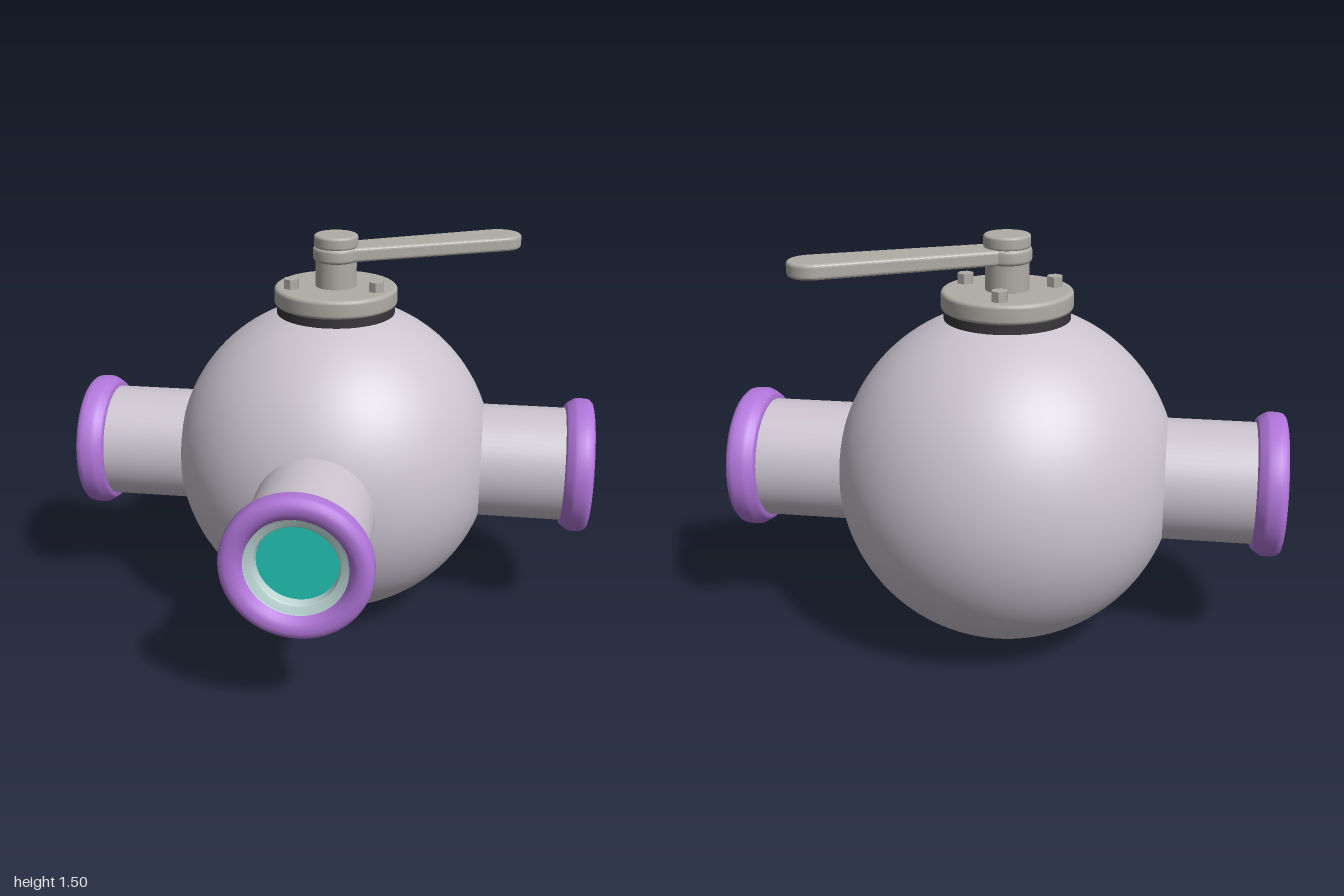
import * as THREE from 'three';

const mat = (name, color, side = THREE.FrontSide) => {
  const m = new THREE.MeshStandardMaterial({ color, side });
  m.name = name;
  return m;
};

export function createModel() {
  const body = mat('bodyGrey', 0xcbc4cf);
  const metal = mat('metalGrey', 0xb0aca6);
  const purple = mat('flangePurple', 0xb176da);
  const teal = mat('discTeal', 0x22c6b6);
  const pale = mat('seatPale', 0xbcd6d4);
  const dark = mat('gasketDark', 0x38363a);

  const model = new THREE.Group();
  model.name = 'threeWayValve';
  // Everything sits around the centre of the ball housing
  const valve = new THREE.Group();
  valve.name = 'valve';
  valve.position.z = -0.19;
  model.add(valve);

  const add = (parent, name, geo, material, x = 0, y = 0, z = 0) => {
    const m = new THREE.Mesh(geo, material);
    m.name = name;
    m.position.set(x, y, z);
    parent.add(m);
    return m;
  };
  const lathe = (pts, seg = 64) =>
    new THREE.LatheGeometry(pts.map(([r, y]) => new THREE.Vector2(r, y)), seg);
  // Disc with softly rounded rims
  const roundedDisc = (r, y0, y1, b) => {
    const pts = [[0, y0], [r - b - 0.002, y0]];
    for (let i = 0; i <= 4; i++) {
      const a = -Math.PI / 2 + (i / 4) * Math.PI / 2;
      pts.push([r - b + b * Math.cos(a), y0 + b + b * Math.sin(a)]);
    }
    for (let i = 0; i <= 4; i++) {
      const a = (i / 4) * Math.PI / 2;
      pts.push([r - b + b * Math.cos(a), y1 - b + b * Math.sin(a)]);
    }
    pts.push([r - b - 0.002, y1], [0, y1]);
    return lathe(pts);
  };

  const CY = 0.622;
  add(valve, 'ballHousing', new THREE.SphereGeometry(0.62, 96, 64), body, 0, CY);

  // Ports, built along +y and turned outward
  const port = (name, rx, rz, blocked) => {
    const g = new THREE.Group();
    g.name = name;
    g.position.y = CY;
    g.rotation.set(rx, 0, rz);
    valve.add(g);
    add(g, 'pipe', new THREE.CylinderGeometry(0.22, 0.22, 0.42, 64, 1, true), body, 0, 0.71);
    add(g, 'flange', lathe([
      [0.215, 0.894], [0.234, 0.895], [0.241, 0.902], [0.254, 0.922], [0.26, 0.935],
      [0.26, 0.97], [0.256, 0.985], [0.245, 0.996], [0.23, 1], [0.212, 0.999],
      [0.195, 0.992], [0.182, 0.978], [0.175, 0.955],
    ]), purple);
    if (blocked) {
      add(g, 'seatRing', lathe([[0.177, 0.97], [0.17, 0.966], [0.15, 0.96], [0.145, 0.955]]), pale);
      add(g, 'seatWall', lathe([[0.145, 0.955], [0.14, 0.92]]), pale);
      add(g, 'disc', new THREE.CylinderGeometry(0.142, 0.142, 0.009, 48), teal, 0, 0.92);
    } else {
      add(g, 'bore', lathe([[0.175, 0.96], [0.172, 0.55]]), body);
    }
  };
  port('leftPort', 0, -Math.PI / 2, true);
  port('rightPort', 0, Math.PI / 2, false);
  port('frontPort', Math.PI / 2, 0, true);

  // Bonnet on top of the housing
  add(valve, 'gasket', new THREE.CylinderGeometry(0.225, 0.225, 0.05, 64), dark, 0, 1.23);
  add(valve, 'bonnetPlate', roundedDisc(0.234, 1.238, 1.308, 0.014), metal);
  for (const [x, z] of [[0, -0.17], [-0.16, 0.065], [0.16, 0.065]]) {
    const bolt = new THREE.CylinderGeometry(0.03, 0.03, 0.045, 6).toNonIndexed();
    bolt.computeVertexNormals();
    add(valve, 'bolt', bolt, metal, x, 1.322, z);
  }
  add(valve, 'stem', new THREE.CylinderGeometry(0.078, 0.078, 0.14, 48), metal, 0, 1.36);
  add(valve, 'stemCap', roundedDisc(0.083, 1.455, 1.503, 0.01), metal);
  add(valve, 'leverHub', roundedDisc(0.087, 1.404, 1.46, 0.014), metal);

  // Tapered lever with a round tip
  const len = 0.673, r = 0.073, bevel = 0.012;
  const s = new THREE.Shape();
  s.moveTo(0, -0.056);
  s.lineTo(len, -r);
  s.absarc(len, 0, r, -Math.PI / 2, Math.PI / 2, false);
  s.lineTo(0, 0.056);
  s.closePath();
  const leverGeo = new THREE.ExtrudeGeometry(s, {
    depth: 0.054 - 2 * bevel, bevelEnabled: true, bevelThickness: bevel,
    bevelSize: bevel, bevelSegments: 4, curveSegments: 24,
  });
  leverGeo.rotateX(-Math.PI / 2);
  const lever = add(valve, 'lever', leverGeo, metal, 0, 1.405 + bevel, 0);
  lever.rotation.y = Math.atan2(0.295, 0.605);

  return model;
}
